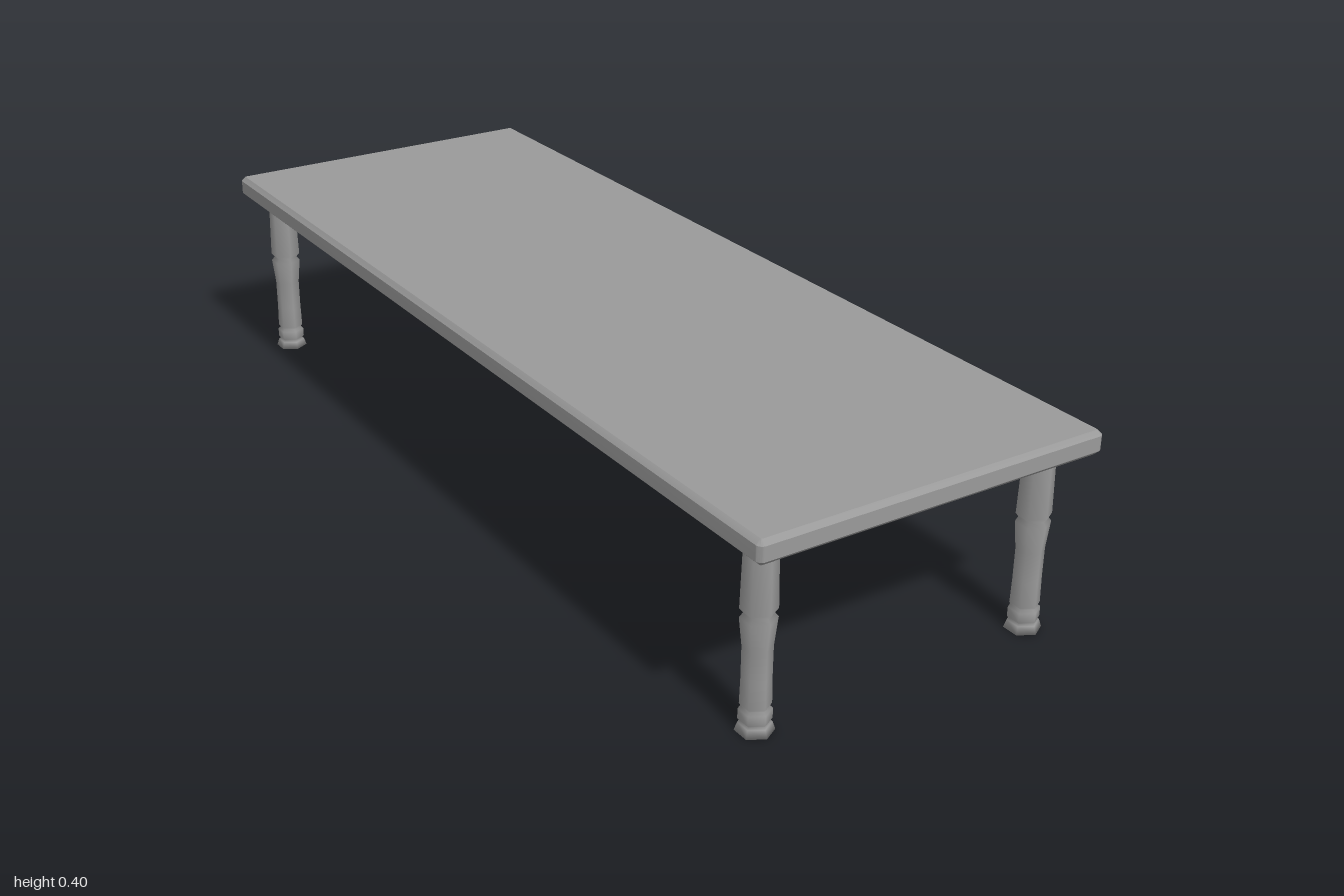
import * as THREE from 'three';
import { toCreasedNormals } from 'three/addons/utils/BufferGeometryUtils.js';

const HALF_X = 0.357, HALF_Z = 1;
const BOTTOM = 0.358, TOP = 0.404, BEVEL = 0.009;

// Turned leg outline: [half width across the flats, height], from the foot up
const LEG_PROFILE = [
  [0, 0], [0.0295, 0], [0.025, 0.015], [0.021, 0.018], [0.025, 0.022],
  [0.025, 0.041], [0.02, 0.046], [0.0235, 0.051], [0.0225, 0.1],
  [0.0225, 0.16], [0.0275, 0.213], [0.0215, 0.221], [0.0275, 0.229],
  [0.0255, 0.325], [0.026, 0.34], [0.0295, 0.35], [0.0295, 0.36], [0, 0.36],
];

// Board with small rounded corners and a narrow chamfer around both faces
function createTop(material) {
  const w = HALF_X - BEVEL, l = HALF_Z - BEVEL, r = 0.003;
  const outline = new THREE.Shape();
  [[1, -1], [1, 1], [-1, 1], [-1, -1]].forEach(([sx, sy], i) => {
    const start = (i - 1) * Math.PI / 2;
    outline.absarc(sx * (w - r), sy * (l - r), r, start, start + Math.PI / 2, false);
  });
  const geometry = new THREE.ExtrudeGeometry(outline, {
    depth: TOP - BOTTOM - 2 * BEVEL, curveSegments: 3,
    bevelEnabled: true, bevelSegments: 1, bevelSize: BEVEL, bevelThickness: BEVEL,
  });
  geometry.rotateX(-Math.PI / 2);
  geometry.translate(0, BOTTOM + BEVEL, 0);
  const top = new THREE.Mesh(toCreasedNormals(geometry, 0.65), material);
  top.name = 'tableTop';
  return top;
}

export function createModel() {
  const group = new THREE.Group();
  group.name = 'table';
  const material = new THREE.MeshStandardMaterial({ color: 0x9a9a9a });
  group.add(createTop(material));

  // Four identical six-sided, smooth-shaded legs near the corners
  const toCorner = 1 / Math.cos(Math.PI / 6);
  const legGeometry = new THREE.LatheGeometry(
    LEG_PROFILE.map(([r, y]) => new THREE.Vector2(r * toCorner, y)), 6);
  for (const [zName, z] of [['front', 0.92], ['back', -0.92]]) {
    for (const [xName, x] of [['Left', 0.293], ['Right', -0.293]]) {
      const leg = new THREE.Mesh(legGeometry, material);
      leg.name = `${zName}${xName}Leg`;
      leg.position.set(x, 0, z);
      group.add(leg);
    }
  }
  return group;
}
